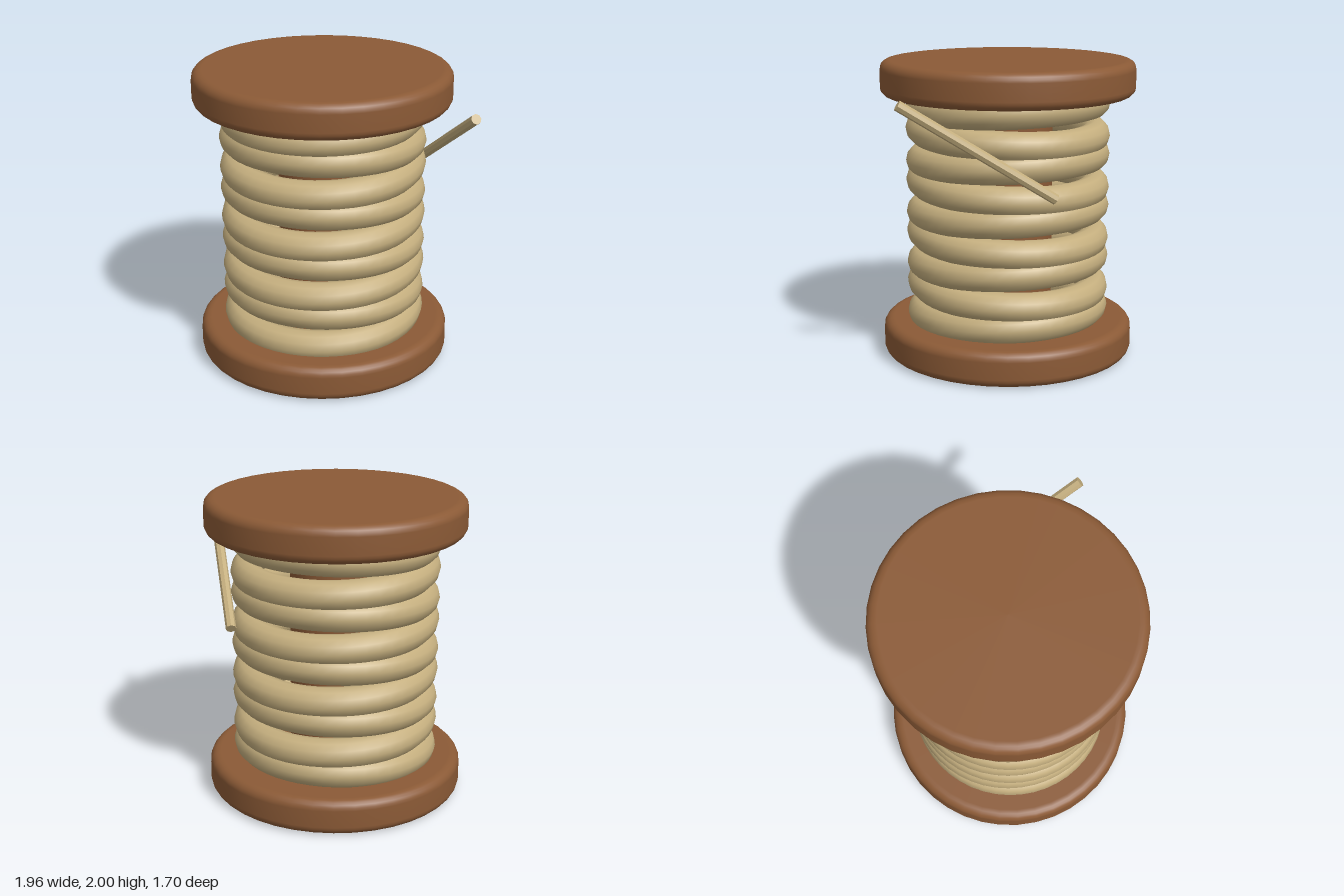
import * as THREE from 'three';

const wood = new THREE.MeshStandardMaterial({ color: 0x8b5a36 });
wood.name = 'brown wood';
const rope = new THREE.MeshStandardMaterial({ color: 0xc4ae7e });
rope.name = 'tan rope';
const ropeEnd = new THREE.MeshStandardMaterial({ color: 0xc4ae7e, flatShading: true });
ropeEnd.name = 'tan rope end';

const CENTER_X = -0.135;

function add(group, name, geometry, material) {
  const mesh = new THREE.Mesh(geometry, material);
  mesh.name = name;
  group.add(mesh);
  return mesh;
}

// Disc with rounded rims, standing on y = 0
function flangeGeometry(radius, height, fillet) {
  const points = [new THREE.Vector2(0, 0), new THREE.Vector2(radius - fillet - 0.01, 0)];
  for (const [cy, start] of [[fillet, -Math.PI / 2], [height - fillet, 0]]) {
    for (let i = 0; i <= 5; i++) {
      const a = start + (i / 5) * Math.PI / 2;
      points.push(new THREE.Vector2(radius - fillet + fillet * Math.cos(a), cy + fillet * Math.sin(a)));
    }
  }
  points.push(new THREE.Vector2(radius - fillet - 0.01, height), new THREE.Vector2(0, height));
  return new THREE.LatheGeometry(points, 40);
}

export function createModel() {
  const model = new THREE.Group();
  model.name = 'ropeSpool';
  const spool = new THREE.Group();
  spool.name = 'spool';
  spool.position.x = CENTER_X;
  model.add(spool);

  // Wooden end discs and core
  const flange = flangeGeometry(0.85, 0.235, 0.06);
  add(spool, 'bottomFlange', flange, wood);
  add(spool, 'topFlange', flange, wood).position.y = 1.765;
  add(spool, 'core', new THREE.CylinderGeometry(0.3, 0.3, 1.6, 32), wood).position.y = 1;

  // Rope windings, tilted alternately forward and back
  const coil = new THREE.TorusGeometry(0.585, 0.1, 12, 48);
  for (let i = 0; i < 9; i++) {
    const ring = add(spool, `ropeCoil${i + 1}`, coil, rope);
    ring.position.y = 0.3 + 0.175 * i;
    ring.rotation.x = Math.PI / 2 + (i % 2 ? -0.048 : 0.048);
  }

  // Loose straight rope end
  const from = new THREE.Vector3(0.225, 1.19, -0.635);
  const to = new THREE.Vector3(0.95, 1.81, 0.035);
  const direction = to.clone().sub(from);
  const end = add(model, 'looseRopeEnd', new THREE.CylinderGeometry(0.034, 0.034, direction.length(), 8), ropeEnd);
  end.position.copy(from).add(to).multiplyScalar(0.5);
  end.quaternion.setFromUnitVectors(new THREE.Vector3(0, 1, 0), direction.normalize());

  return model;
}
